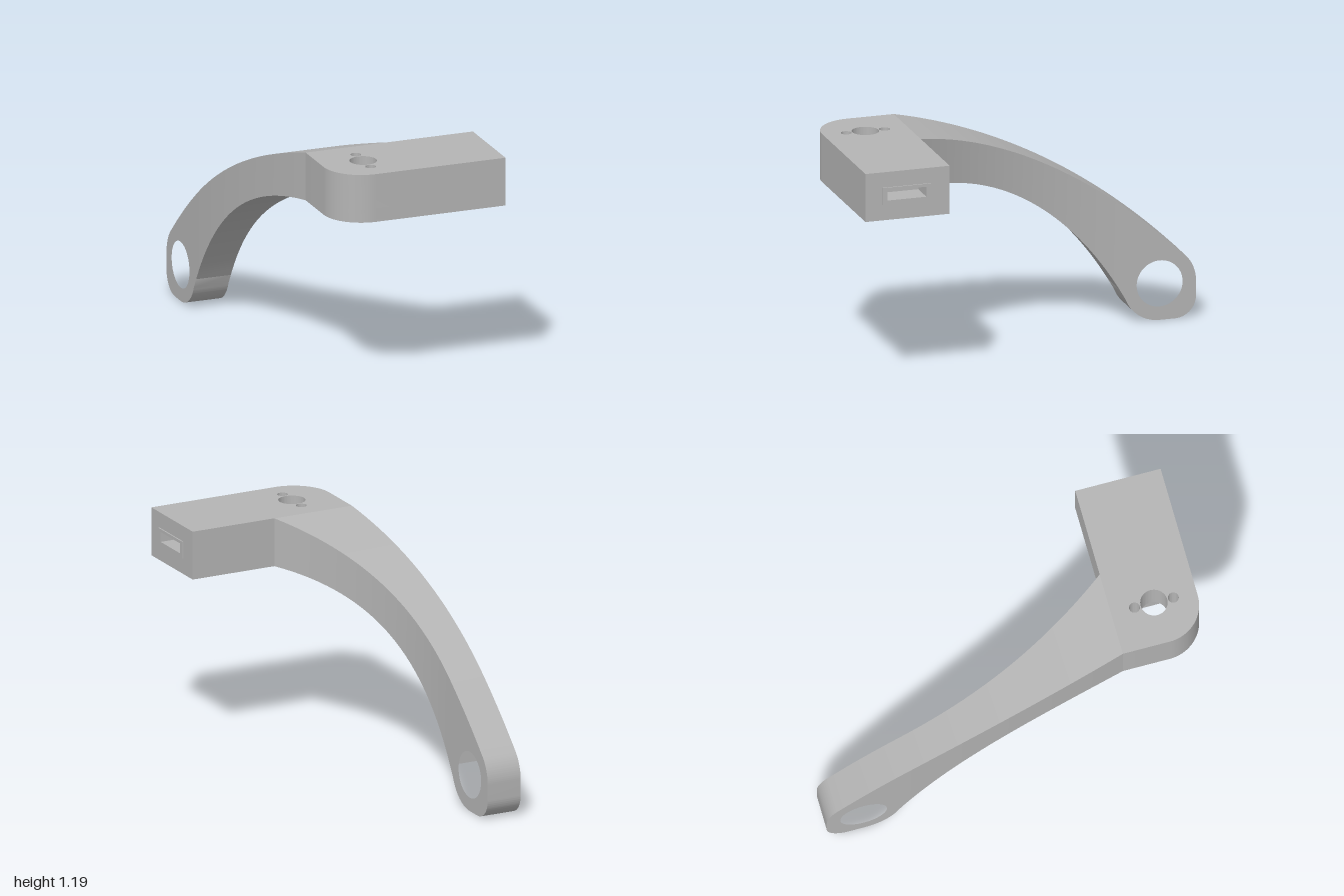
import * as THREE from 'three';
import { toCreasedNormals } from 'three/addons/utils/BufferGeometryUtils.js';

const JOIN = 0.56;   // z where the arm leaves the block
const LUG = -0.6;    // z where the arm becomes the straight lug

// Height of a quadratic curve [z, y] x 3 at a given z
function curveY([p0, c, p1], z) {
  const a = p0[0] - 2 * c[0] + p1[0], b = 2 * (c[0] - p0[0]), d = p0[0] - z;
  const t = (-b - Math.sqrt(b * b - 4 * a * d)) / (2 * a);
  return (1 - t) ** 2 * p0[1] + 2 * t * (1 - t) * c[1] + t * t * p1[1];
}
const topCurve = [[JOIN, 1.19], [-0.307, 0.958], [-0.944, 0.324]];
const bottomCurve = [[JOIN, 0.94], [-0.23, 0.845], [-0.631, 0.125]];

function circle(x, y, r) {
  return new THREE.Path().absarc(x, y, r, 0, Math.PI * 2, true);
}

function rect(x0, y0, x1, y1, Type = THREE.Path) {
  return new Type().moveTo(x0, y0).lineTo(x1, y0).lineTo(x1, y1).lineTo(x0, y1).closePath();
}

function extrude(shape, depth) {
  return new THREE.ExtrudeGeometry(shape, { depth, bevelEnabled: false, curveSegments: 32 });
}

// Shape drawn in (x, -z), raised from y0 to y1
function extrudeUp(shape, y0, y1) {
  return toCreasedNormals(extrude(shape, y1 - y0).rotateX(-Math.PI / 2).translate(0, y0, 0), 0.6);
}

// Shape drawn in (-z, y), extended from x0 to x1
function extrudeAcross(shape, x0, x1) {
  return toCreasedNormals(extrude(shape, x1 - x0).rotateY(Math.PI / 2).translate(x0, 0, 0), 0.6);
}

// Block footprint with one rounded front corner
function blockShape() {
  return new THREE.Shape()
    .moveTo(-0.39, -JOIN)
    .lineTo(-0.39, -0.8)
    .absarc(-0.19, -0.8, 0.2, Math.PI, Math.PI * 1.5, false)
    .lineTo(0.38, -1)
    .lineTo(0.38, -JOIN)
    .closePath();
}

// Rounded pocket outline on the underside
function pocketPath() {
  const x0 = -0.245, x1 = -0.095, z0 = -0.945, z1 = -0.615, r = 0.045;
  return new THREE.Path()
    .moveTo(x0 + r, z0)
    .absarc(x1 - r, z0 + r, r, -Math.PI / 2, 0, false)
    .absarc(x1 - r, z1 - r, r, 0, Math.PI / 2, false)
    .absarc(x0 + r, z1 - r, r, Math.PI / 2, Math.PI, false)
    .absarc(x0 + r, z0 + r, r, Math.PI, Math.PI * 1.5, false);
}

// Tapered arm: a box whose sections follow the plan and side curves
function armGeometry() {
  const geo = new THREE.BoxGeometry(1, 1, 1, 1, 1, 48);
  const p = geo.attributes.position;
  for (let i = 0; i < p.count; i++) {
    const u = p.getZ(i) + 0.5;
    const z = THREE.MathUtils.lerp(LUG, JOIN, u);
    const outer = -0.515 + 0.125 * u ** 2;
    const inner = -0.33 + 0.375 * u ** 2.15;
    const x = p.getX(i) < 0 ? outer : inner;
    const y = curveY(p.getY(i) < 0 ? bottomCurve : topCurve, z);
    p.setXYZ(i, x, y, z);
  }
  geo.computeVertexNormals();
  return geo;
}

// Lug outline with a round pivot hole
function lugShape() {
  const s = new THREE.Shape();
  s.moveTo(-LUG, curveY(topCurve, LUG));
  for (let i = 1; i < 12; i++) {
    const a = THREE.MathUtils.lerp(-LUG, 0.944, i / 12);
    s.lineTo(a, curveY(topCurve, -a));
  }
  s.absarc(0.81, 0.19, 0.19, Math.PI / 4, 0, true);
  s.absarc(0.89, 0.11, 0.11, 0, -Math.PI / 2, true);
  s.absarc(0.81, 0.19, 0.19, -Math.PI / 2, -Math.PI * 8 / 9, true);
  s.lineTo(-LUG, curveY(bottomCurve, LUG));
  s.closePath();
  s.holes.push(circle(0.81, 0.19, 0.12));
  return s;
}

export function createModel() {
  const model = new THREE.Group();
  const grey = new THREE.MeshStandardMaterial({ color: 0xb4b4b4 });
  grey.name = 'plainGrey';

  function add(name, geometry) {
    const mesh = new THREE.Mesh(geometry, grey);
    mesh.name = name;
    model.add(mesh);
  }

  // Block: pocketed lower layer and drilled upper layer
  const lower = blockShape();
  lower.holes.push(pocketPath());
  add('blockPocketLayer', extrudeUp(lower, 0.94, 1.01));

  const upper = blockShape();
  upper.holes.push(circle(-0.17, -0.78, 0.068), circle(-0.17, -0.68, 0.027), circle(-0.17, -0.88, 0.027));
  add('blockTopLayer', extrudeUp(upper, 1.01, 1.19));

  // Block end with the slot and its thin raised rim
  const end = rect(-1, 0.94, -JOIN, 1.19, THREE.Shape);
  end.holes.push(rect(-0.888, 1.043, -0.684, 1.095));
  add('blockEnd', extrudeAcross(end, 0.38, 0.503));

  const rim = rect(-0.912, 1.022, -0.66, 1.11, THREE.Shape);
  rim.holes.push(rect(-0.888, 1.043, -0.684, 1.095));
  add('slotRim', extrudeAcross(rim, 0.503, 0.51));

  // Curved arm and its pivot lug
  add('arm', armGeometry());
  add('pivotLug', extrudeAcross(lugShape(), -0.515, -0.33));

  return model;
}
